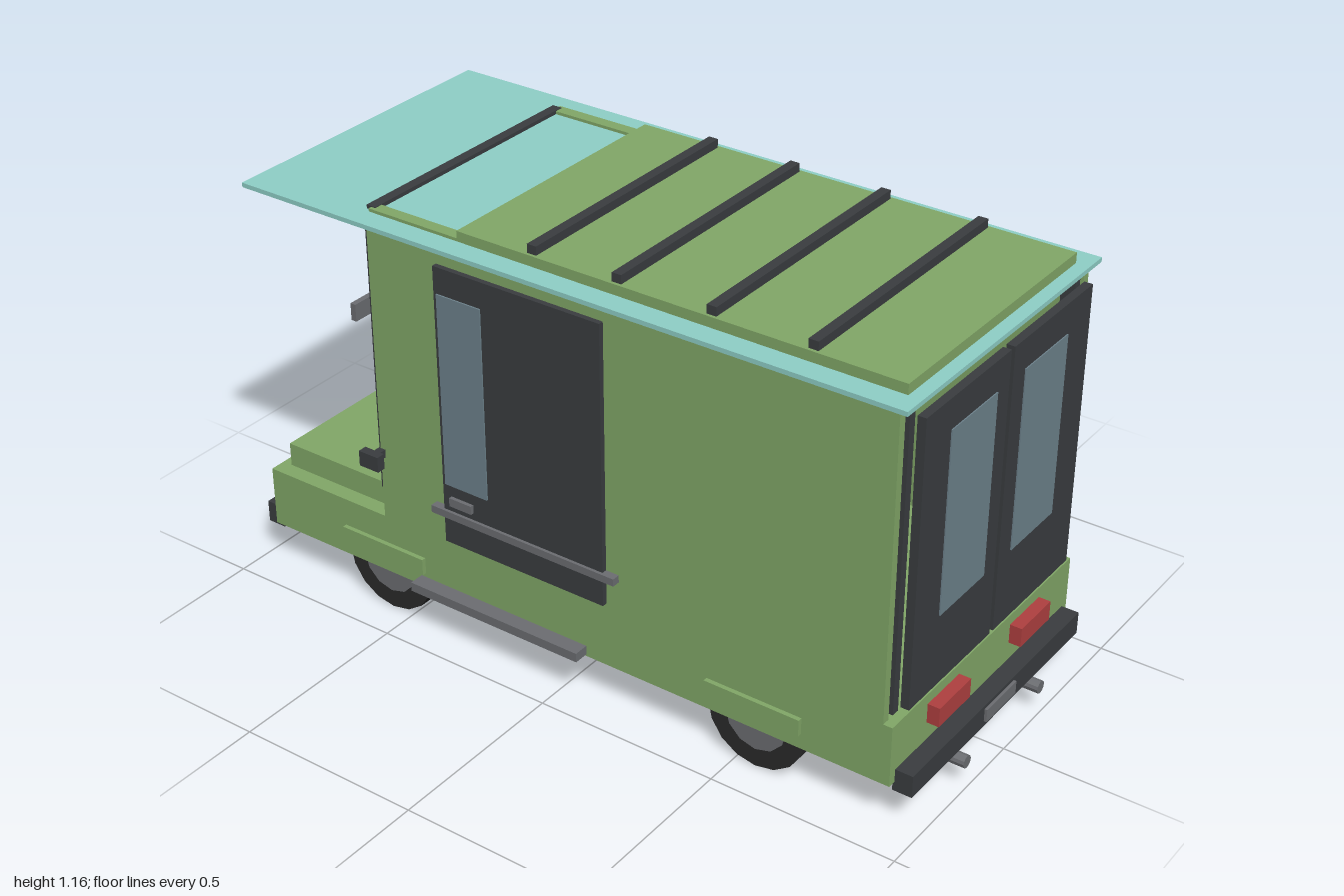
import * as THREE from 'three';

const mat = (color, extra = {}) => new THREE.MeshStandardMaterial({ color, flatShading: true, ...extra });

export function createModel() {
  const van = new THREE.Group();
  van.name = 'van';
  const green = mat(0x82a868), dark = mat(0x3a3d40), glass = mat(0x6d828c), grey = mat(0x6c6e72);
  const red = mat(0xb04040), beige = mat(0xc8b68c), teal = mat(0x8fd0c8), brown = mat(0x5c4f4a), rubber = mat(0x2a2a2a);

  // Box given by its lower and upper limits on each axis
  function box(name, m, x0, x1, y0, y1, z0, z1) {
    const mesh = new THREE.Mesh(new THREE.BoxGeometry(x1 - x0, y1 - y0, z1 - z0), m);
    mesh.position.set((x0 + x1) / 2, (y0 + y1) / 2, (z0 + z1) / 2);
    mesh.name = name;
    van.add(mesh);
    return mesh;
  }
  // The same box on both sides of x = 0
  function pair(name, m, x0, x1, ...rest) {
    box(name + 'Left', m, x0, x1, ...rest);
    box(name + 'Right', m, -x1, -x0, ...rest);
  }
  function cylinder(name, m, r, length, sides, x, y, z, axis) {
    const g = new THREE.CylinderGeometry(r, r, length, sides);
    if (axis === 'x') g.rotateZ(Math.PI / 2); else g.rotateX(Math.PI / 2);
    const mesh = new THREE.Mesh(g, m);
    mesh.position.set(x, y, z);
    mesh.name = name;
    van.add(mesh);
  }

  // Lower body, hood and side walls
  box('lowerBody', green, -0.418, 0.418, 0.125, 0.29, -0.943, 0.93);
  box('hood', green, -0.375, 0.375, 0.29, 0.355, -0.915, -0.585);
  pair('sideWall', green, 0.396, 0.418, 0.29, 1.1, -0.557, 0.906);

  // Corner posts and windshield
  pair('frontPost', dark, 0.355, 0.376, 0.34, 1.1, -0.6, -0.557);
  pair('rearPost', dark, 0.355, 0.377, 0.29, 1.1, 0.87, 0.906);
  box('windshield', glass, -0.295, 0.295, 0.34, 1.095, -0.59, -0.575);

  // Roof, raised panel, hatch frame and rack bars
  box('roof', teal, -0.43, 0.43, 1.098, 1.11, -0.945, 0.93);
  box('roofPanel', green, -0.37, 0.37, 1.11, 1.137, -0.32, 0.895);
  pair('hatchRail', green, 0.337, 0.37, 1.11, 1.118, -0.59, -0.32);
  box('hatchBar', dark, -0.36, 0.36, 1.11, 1.12, -0.605, -0.578);
  for (const z of [0.655, 0.392, 0.135, -0.105]) box('rackBar', dark, -0.362, 0.362, 1.137, 1.16, z - 0.013, z + 0.013);

  // Rear doors with windows
  pair('rearDoor', dark, 0.008, 0.37, 0.315, 1.07, 0.92, 0.942);
  pair('rearWindow', glass, 0.063, 0.26, 0.51, 0.99, 0.93, 0.945);

  // Rear bumper, lights, plate and exhausts
  box('rearBumper', dark, -0.395, 0.395, 0.1, 0.16, 0.925, 0.977);
  pair('tailLight', red, 0.12, 0.262, 0.21, 0.262, 0.925, 0.962);
  box('rearPlate', grey, -0.07, 0.07, 0.115, 0.15, 0.97, 0.984);
  for (const s of [-1, 1]) cylinder('exhaust', grey, 0.017, 0.1, 12, s * 0.177, 0.073, 0.947, 'z');

  // Front bumper, grille, lights and plates
  box('frontBumper', dark, -0.395, 0.395, 0.1, 0.16, -0.993, -0.94);
  box('grille', dark, -0.26, 0.26, 0.165, 0.27, -0.958, -0.94);
  for (let i = 0; i < 4; i++) box('grilleSlat', dark, -0.2, 0.2, 0.178 + i * 0.023, 0.188 + i * 0.023, -0.97, -0.95);
  pair('headlight', beige, 0.112, 0.272, 0.2, 0.265, -0.99, -0.94);
  box('frontPlate', grey, -0.07, 0.07, 0.115, 0.15, -1.0, -0.985);
  box('upperPlate', grey, -0.07, 0.07, 0.57, 0.62, -0.957, -0.94);

  // Side doors, trim, steps and arches
  pair('sideDoor', dark, 0.415, 0.432, 0.305, 1.065, -0.345, 0.138);
  pair('sideWindow', glass, 0.425, 0.436, 0.475, 0.995, -0.335, -0.205);
  pair('doorRail', grey, 0.418, 0.44, 0.38, 0.4, -0.38, 0.175);
  pair('doorHandle', grey, 0.428, 0.442, 0.42, 0.443, -0.32, -0.252);
  pair('sideStep', grey, 0.41, 0.459, 0.13, 0.155, -0.445, 0.075);
  for (const z of [0.56, -0.562]) pair('archTrim', green, 0.41, 0.43, 0.167, 0.212, z - 0.132, z + 0.132);

  // Door mirrors
  pair('mirrorArm', dark, 0.415, 0.455, 0.468, 0.49, -0.562, -0.542);
  pair('mirrorHead', dark, 0.448, 0.472, 0.458, 0.5, -0.58, -0.52);

  // Wheels
  for (const z of [0.556, -0.566]) for (const s of [-1, 1]) {
    cylinder('tyre', rubber, 0.136, 0.088, 16, s * 0.354, 0.136, z, 'x');
    cylinder('hub', grey, 0.085, 0.094, 12, s * 0.354, 0.136, z, 'x');
  }

  // Cab interior
  box('dashboard', dark, -0.3, 0.3, 0.29, 0.45, -0.57, -0.5);
  pair('seatBase', brown, 0.088, 0.245, 0.3, 0.4, -0.4, -0.22);
  pair('seatBack', brown, 0.088, 0.245, 0.4, 0.65, -0.25, -0.21);

  return van;
}
